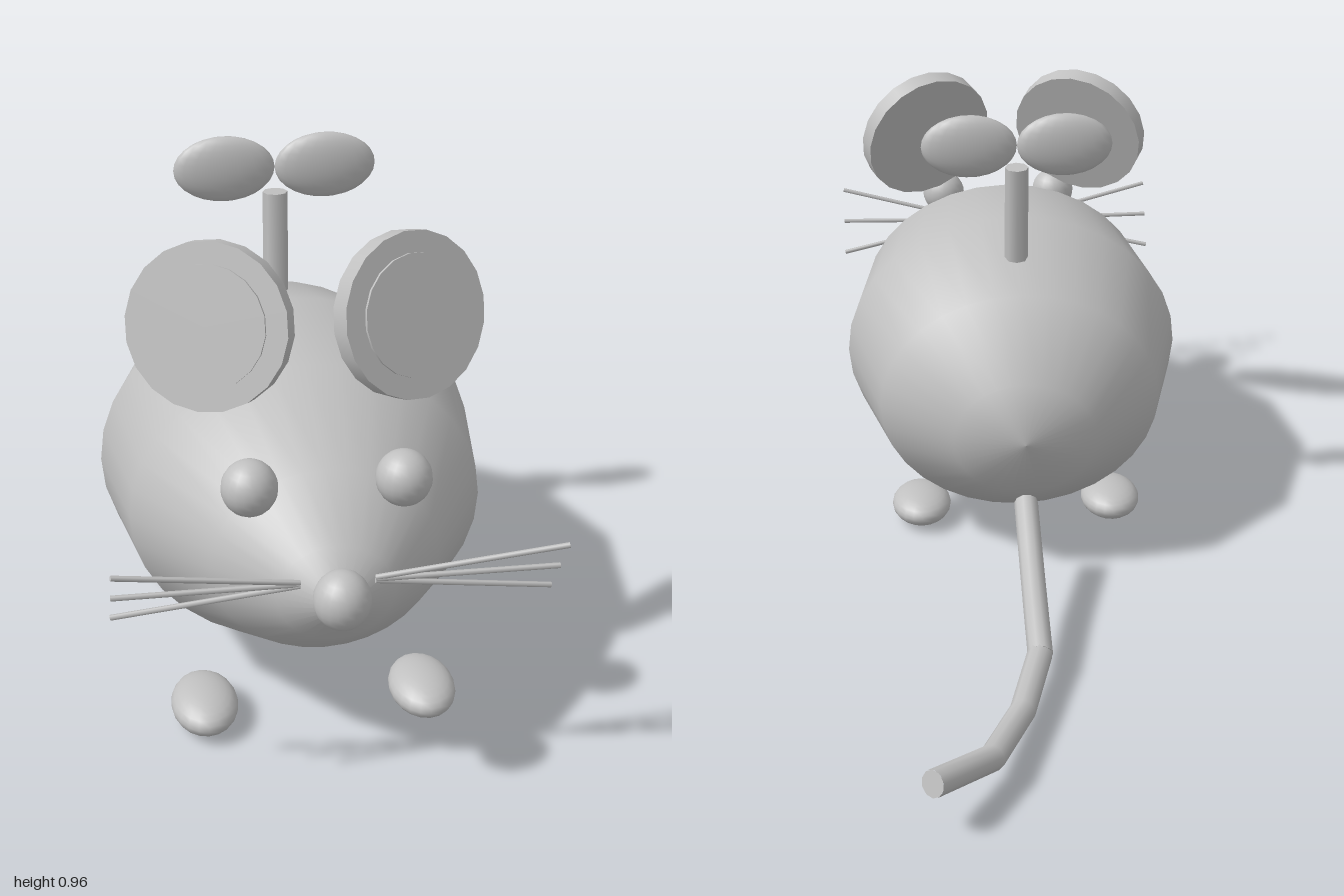
import * as THREE from 'three';

export function createModel() {
  const group = new THREE.Group();
  const grey = new THREE.MeshStandardMaterial({ color: 0xc0c0c0 });
  grey.name = 'plain grey';

  const add = (name, geometry, parent = group) => {
    const mesh = new THREE.Mesh(geometry, grey);
    mesh.name = name;
    parent.add(mesh);
    return mesh;
  };

  // Ellipsoid with its own radii on each axis
  const ellipsoid = (name, [x, y, z], [rx, ry, rz], w = 20, h = 14) =>
    add(name, new THREE.SphereGeometry(1, w, h).scale(rx, ry, rz).translate(x, y, z));

  // Straight round rod between two points
  const rod = (name, from, to, radius, sides) => {
    const a = new THREE.Vector3(...from), b = new THREE.Vector3(...to);
    const dir = b.clone().sub(a);
    const mesh = add(name, new THREE.CylinderGeometry(radius, radius, dir.length(), sides));
    mesh.position.copy(a).add(b).multiplyScalar(0.5);
    mesh.quaternion.setFromUnitVectors(new THREE.Vector3(0, 1, 0), dir.normalize());
    return mesh;
  };

  // Body: a turned egg lying along z, slightly flattened and tipped up at the nose
  const profile = [
    [0, -0.157], [0.15, -0.132], [0.3, 0.025], [0.37, 0.29],
    [0.33, 0.55], [0.205, 0.77], [0.103, 0.89], [0, 0.945],
  ].map(([r, z]) => new THREE.Vector2(r, z));
  add('body', new THREE.LatheGeometry(profile, 32)
    .rotateX(Math.PI / 2)
    .scale(1, 0.86, 1)
    .rotateX(-0.075)
    .translate(0, 0.345, 0));

  ellipsoid('nose', [0, 0.44, 0.95], [0.05, 0.053, 0.05]);

  for (const s of [1, -1]) {
    const side = s > 0 ? 'left' : 'right';
    ellipsoid(side + 'Eye', [s * 0.135, 0.568, 0.78], [0.05, 0.051, 0.05]);
    ellipsoid(side + 'FrontFoot', [s * 0.208, 0.042, 0.67], [0.063, 0.038, 0.09]);
    ellipsoid(side + 'BackFoot', [s * 0.215, 0.042, 0.153], [0.066, 0.038, 0.088]);

    // Ear: thick disc with a thin inner plate, leaning back and turned outward
    const ear = new THREE.Group();
    ear.name = side + 'Ear';
    ear.position.set(s * 0.18, 0.783, 0.578);
    ear.rotation.set(-0.3, s * 0.45, 0, 'YXZ');
    group.add(ear);
    add('earDisc', new THREE.CylinderGeometry(0.152, 0.152, 0.04, 20).rotateX(Math.PI / 2), ear);
    add('innerEar', new THREE.CylinderGeometry(0.112, 0.112, 0.008, 20)
      .rotateX(Math.PI / 2).translate(0, 0, 0.021), ear);

    // Whiskers fan out from beside the nose
    for (const k of [1, 0, -1]) {
      rod(side + 'Whisker', [s * 0.065, 0.447 + k * 0.003, 0.905],
        [s * 0.385, 0.45 + k * 0.068, 0.91 + k * 0.044], 0.005, 6);
    }

    // Wind-up key wing
    ellipsoid(side + 'KeyWing', [s * 0.1, 0.898, 0.112], [0.1, 0.067, 0.027]);
  }

  rod('keyStem', [0, 0.6, 0.138], [0, 0.848, 0.118], 0.025, 8);

  // Tail: a straight run, then a curl to the side
  const tails = [
    [[[0, 0.2, -0.155], [0, 0.128, -0.34], [0, 0.068, -0.53]], 4],
    [[[0, 0.068, -0.525], [0.055, 0.054, -0.72], [0.135, 0.078, -0.895], [0.222, 0.115, -0.985]], 3],
  ];
  for (const [points, steps] of tails) {
    const curve = new THREE.CatmullRomCurve3(points.map((p) => new THREE.Vector3(...p)));
    add('tail', new THREE.TubeGeometry(curve, steps, 0.025, 10));
    for (const t of [0, 1]) {
      const cap = add('tailEnd', new THREE.CircleGeometry(0.025, 10));
      cap.position.copy(curve.getPointAt(t));
      cap.quaternion.setFromUnitVectors(new THREE.Vector3(0, 0, 1),
        curve.getTangentAt(t).multiplyScalar(t ? 1 : -1));
    }
  }
  return group;
}
